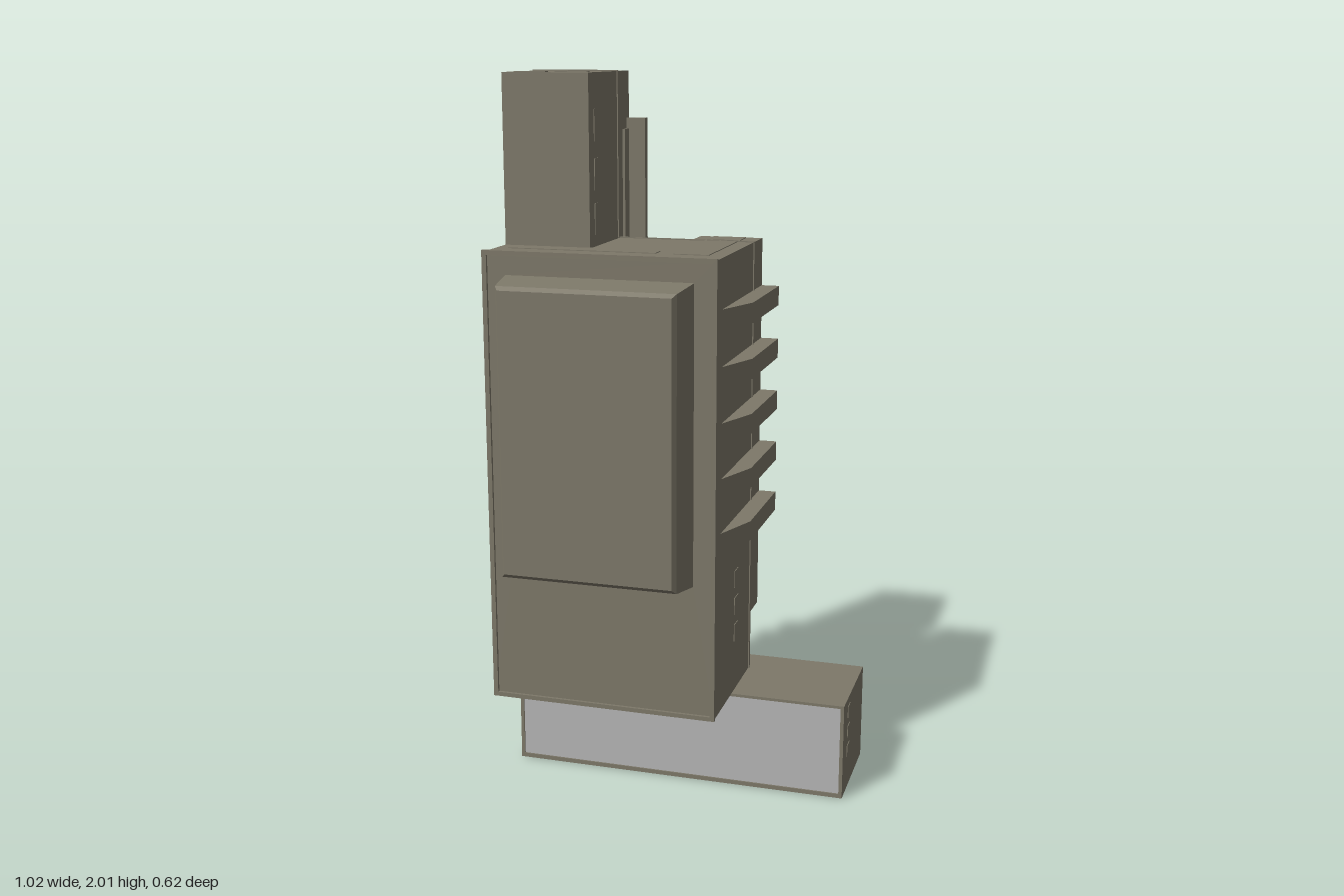
import * as THREE from 'three';

export function createModel() {
  const model = new THREE.Group();
  model.name = 'towerBuilding';
  const shell = new THREE.MeshStandardMaterial({ color: 0x7d7869, flatShading: true, side: THREE.DoubleSide });
  shell.name = 'shellTaupe';
  const glass = new THREE.MeshStandardMaterial({ color: 0xb6b6b6, side: THREE.DoubleSide });
  glass.name = 'baseGlass';

  const add = (name, geo, mat = shell) => {
    const mesh = new THREE.Mesh(geo, mat);
    mesh.name = name;
    model.add(mesh);
    return mesh;
  };
  // Box given by its limits on each axis
  const box = (name, x0, x1, y0, y1, z0, z1, mat) => {
    const m = add(name, new THREE.BoxGeometry(x1 - x0, y1 - y0, z1 - z0), mat);
    m.position.set((x0 + x1) / 2, (y0 + y1) / 2, (z0 + z1) / 2);
    return m;
  };
  const rect = (s, x0, x1, y0, y1) =>
    s.moveTo(x0, y0).lineTo(x1, y0).lineTo(x1, y1).lineTo(x0, y1).closePath();
  // Flat upright panel with a rectangular opening
  const frame = (name, o, i, z, depth) => {
    const s = rect(new THREE.Shape(), ...o);
    s.holes.push(rect(new THREE.Path(), ...i));
    add(name, new THREE.ExtrudeGeometry(s, { depth, bevelEnabled: false })).position.z = z;
  };

  const T = 0.006; // wall thickness
  const B = -0.31; // back plane

  // Base: open-backed trough with a glazed front
  box('baseFloor', -0.465, 0.505, 0, T, B, -0.005);
  box('baseRightWall', -0.465, -0.459, 0, 0.28, B, -0.005);
  box('baseLeftWall', 0.499, 0.505, 0, 0.28, B, -0.005);
  box('baseRoof', -0.21, 0.505, 0.274, 0.28, B, -0.005);
  frame('baseFrontFrame', [-0.465, 0.505, 0, 0.28], [-0.455, 0.495, 0.012, 0.272], -0.012, 0.008);
  box('baseGlazing', -0.459, 0.499, 0.006, 0.274, -0.013, -0.008, glass);

  // Main body shell
  box('bodyRightWall', -0.46, -0.454, 0.28, 1.54, B, 0.19);
  box('bodyLeftWall', 0.174, 0.18, 0.45, 1.54, B, 0.19);
  box('bodyLeftWallFoot', 0.174, 0.18, 0.28, 0.45, -0.205, 0.19);
  box('bodyUnderside', -0.46, 0.18, 0.28, 0.286, -0.012, 0.19);
  frame('bodyFront', [-0.46, 0.18, 0.28, 1.54], [-0.4, 0.12, 0.66, 1.48], 0.184, 0.006);
  frame('bodyFrontRim', [-0.463, 0.183, 0.28, 1.545], [-0.45, 0.17, 0.292, 1.532], 0.188, 0.01);
  // Roof, leaving the tower shaft and the rear notch open
  box('roofFront', -0.46, 0.18, 1.534, 1.54, 0.03, 0.19);
  box('roofMiddle', -0.21, 0.18, 1.534, 1.54, -0.22, 0.03);
  box('roofRear', 0, 0.18, 1.534, 1.54, B, -0.22);

  // Rear column and the recessed wall beside it
  box('columnBack', 0, 0.18, 0.46, 1.54, B, B + T);
  box('columnSide', 0, T, 0.46, 1.54, B, -0.22);
  box('columnBottom', 0, 0.18, 0.46, 0.466, B, -0.205);
  box('recessWall', -0.21, 0.18, 0.28, 1.54, -0.226, -0.22);
  box('rearLedge', 0.03, 0.135, 0.28, 0.41, -0.29, -0.22);

  // Bay: hollow, tapering box pushed out from the front
  const sections = [
    [-0.4, 0.12, 0.66, 1.48, 0.19], [-0.385, 0.105, 0.675, 1.467, 0.297],
    [-0.375, 0.095, 0.687, 1.457, 0.31],
  ];
  const pos = [], idx = [];
  for (const [x0, x1, y0, y1, z] of sections) pos.push(x0, y0, z, x1, y0, z, x1, y1, z, x0, y1, z);
  for (let s = 0; s < 2; s++) for (let i = 0; i < 4; i++) {
    const a = s * 4 + i, b = s * 4 + (i + 1) % 4;
    idx.push(a, b, b + 4, a, b + 4, a + 4);
  }
  idx.push(8, 9, 10, 8, 10, 11);
  let bay = new THREE.BufferGeometry();
  bay.setAttribute('position', new THREE.Float32BufferAttribute(pos, 3));
  bay.setIndex(idx);
  bay = bay.toNonIndexed();
  bay.computeVertexNormals();
  add('frontBay', bay);

  // Upper tower, open at the back and below
  box('towerRightWall', -0.46, -0.454, 1.54, 2, B, 0.035);
  box('towerLeftWall', -0.221, -0.215, 1.53, 2, B, 0.035);
  box('towerFront', -0.46, -0.215, 1.53, 2, 0.029, 0.035);
  box('towerRoof', -0.46, -0.215, 1.994, 2, B, 0.035);

  // Rear service riser
  box('riserWeb', -0.215, -0.16, 0.28, 1.87, -0.296, -0.288);
  box('riserFlangeRight', -0.215, -0.208, 0.28, 1.84, B, -0.25);
  box('riserFlangeLeft', -0.19, -0.16, 0.28, 1.87, B, -0.296);

  // Side fins with tapered front ends
  for (const side of [1, -1]) for (let i = 0; i < 5; i++) {
    const wall = side > 0 ? 0.18 : -0.46, out = wall + side * 0.05;
    const s = new THREE.Shape();
    s.moveTo(wall, -B).lineTo(out, -B).lineTo(out, 0).lineTo(wall, -0.135).closePath();
    const fin = add('sideFin', new THREE.ExtrudeGeometry(s, { depth: 0.055, bevelEnabled: false }));
    fin.rotation.x = -Math.PI / 2;
    fin.position.y = 0.743 + i * 0.152;
  }

  // Seam ribs
  box('roofSeam', -0.21, 0.182, 1.54, 1.543, -0.208, -0.202);
  box('leftSeam', 0.18, 0.183, 0.28, 1.54, -0.208, -0.202);
  box('rightSeam', -0.463, -0.46, 0.28, 2, -0.208, -0.202);
  box('towerRoofSeam', -0.463, -0.212, 2, 2.003, -0.208, -0.202);
  box('towerLeftSeam', -0.215, -0.212, 1.54, 2, -0.208, -0.202);

  // Thin hatches and window plates
  const p = 0.002;
  box('roofHatch', 0.04, 0.135, 1.54, 1.54 + p, -0.3, -0.225);
  box('roofStrip', 0.04, 0.135, 1.54, 1.54 + p, -0.2, 0.105);
  box('roofVent', -0.425, -0.01, 1.54, 1.54 + p, 0.06, 0.105);
  for (const x of [-0.443, -0.325]) box('towerRoofVent', x, x + 0.09, 2, 2 + p, -0.035, -0.01);
  for (const y of [1.57, 1.69, 1.82]) {
    box('towerLeftWindow', -0.215, -0.215 + p, y, y + 0.085, -0.035, -0.005);
    box('towerRightWindow', -0.46 - p, -0.46, y, y + 0.085, -0.035, -0.005);
  }
  for (const y of [0.43, 0.51, 0.59]) box('bodyWindow', 0.18, 0.18 + p, y, y + 0.05, -0.065, -0.025);
  for (const y of [0.1, 0.16, 0.22]) box('baseEndWindow', 0.505, 0.505 + p, y, y + 0.035, -0.1, -0.065);
  for (const x of [-0.12, -0.02, 0.08]) box('baseFloorWindow', x, x + 0.04, -p, 0, -0.18, -0.145);
  for (const y of [0.06, 0.15]) box('baseRightWindow', -0.465 - p, -0.465, y, y + 0.07, -0.18, -0.12);

  return model;
}
